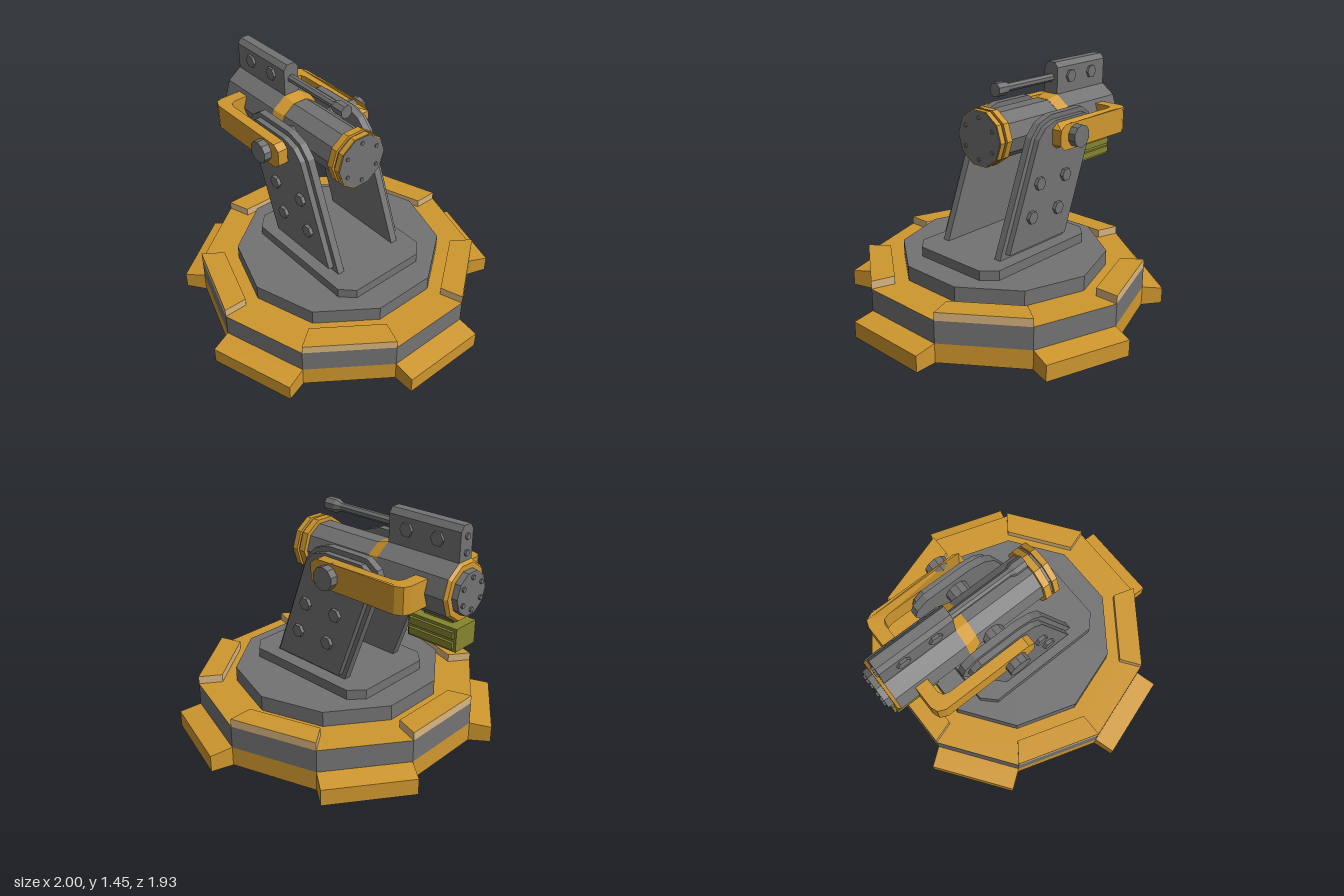
import * as THREE from 'three';

const mat = (name, color) => {
  const m = new THREE.MeshStandardMaterial({ color, side: THREE.DoubleSide });
  m.name = name;
  return m;
};

export function createModel() {
  const grey = mat('steel grey', 0x737373);
  const orange = mat('hazard orange', 0xcf972e);
  const tan = mat('pale tan', 0xdab680);
  const olive = mat('olive', 0x858530);
  const model = new THREE.Group();

  // Faceted mesh from any geometry
  const add = (name, geo, material, parent = model) => {
    const g = geo.index ? geo.toNonIndexed() : geo;
    g.computeVertexNormals();
    const mesh = new THREE.Mesh(g, material);
    mesh.name = name;
    parent.add(mesh);
    return mesh;
  };
  const box = (name, m, x0, x1, y0, y1, z0, z1) =>
    add(name, new THREE.BoxGeometry(x1 - x0, y1 - y0, z1 - z0)
      .translate((x0 + x1) / 2, (y0 + y1) / 2, (z0 + z1) / 2), m);
  // Prism standing on y, with a flat side facing the front
  const prismY = (name, m, r, y0, y1, open = false) =>
    add(name, new THREE.CylinderGeometry(r, r, y1 - y0, 10, 1, open, Math.PI / 10)
      .translate(0, (y0 + y1) / 2, 0), m);
  // Prism or cone along z: rBack at z0, rFront at z1
  const prismZ = (name, m, rBack, rFront, z0, z1, x = 0, y = 1.09, n = 10) =>
    add(name, new THREE.CylinderGeometry(rFront, rBack, z1 - z0, n, 1, false, Math.PI / n)
      .rotateX(Math.PI / 2).translate(x, y, (z0 + z1) / 2), m);
  const prismX = (name, m, r, x0, x1, y, z, n) =>
    add(name, new THREE.CylinderGeometry(r, r, x1 - x0, n, 1, false, n === 6 ? 0 : Math.PI / n)
      .rotateZ(Math.PI / 2).translate((x0 + x1) / 2, y, z), m);
  const shape = pts => new THREE.Shape(pts.map(p => new THREE.Vector2(p[0], p[1])));
  const extrude = (pts, depth) => new THREE.ExtrudeGeometry(shape(pts), { depth, bevelEnabled: false });
  // (z, y) outline extruded across x, placed on side s
  const plateX = (name, m, pts, x0, x1, s) =>
    add(name, extrude(pts, x1 - x0).rotateY(-Math.PI / 2).translate(s > 0 ? x1 : -x0, 0, 0), m);
  const quads = (name, m, list) => {
    const g = new THREE.BufferGeometry();
    const pos = list.flatMap(([a, b, c, d]) => [a, b, c, a, c, d]).flat();
    g.setAttribute('position', new THREE.Float32BufferAttribute(pos, 3));
    return add(name, g, m);
  };

  // Hollow ten-sided base
  const R = 0.873, RI = 0.727, DEG = Math.PI / 180;
  prismY('baseSkirt', orange, R, 0, 0.12, true);
  prismY('baseWall', grey, R, 0.12, 0.26, true);
  add('baseDeck', new THREE.CircleGeometry(RI, 10, Math.PI / 10 - Math.PI / 10)
    .rotateX(-Math.PI / 2).translate(0, 0.26, 0), orange);
  const at = (r, a, y) => [r * Math.sin(a * DEG), y, r * Math.cos(a * DEG)];
  for (let i = 0; i < 10; i++) {
    const a = i * 36 - 18, b = a + 18 + 18, raised = i % 2 === 1;
    const y = raised ? 0.31 : 0.26;
    quads('rimTop', orange, [[at(R, a, y), at(R, b, y), at(RI, b, y), at(RI, a, y)]]);
    if (raised) {
      // Sides of the raised rim block
      const wall = (r1, a1, r2, a2) => [at(r1, a1, 0.26), at(r2, a2, 0.26), at(r2, a2, y), at(r1, a1, y)];
      quads('rimBlockSides', tan, [wall(R, a, R, b), wall(R, b, RI, b), wall(RI, b, RI, a), wall(RI, a, R, a)]);
    } else {
      // Sloping foot with a grey sole
      const w = 0.27, zi = 0.83, zo = 0.963;
      const foot = new THREE.Group();
      foot.name = 'foot';
      const g = extrude([[zi, 0], [zo, 0], [zo, 0.1], [zi, 0.12]], 2 * w)
        .rotateY(-Math.PI / 2).translate(w, 0, 0);
      add('footBlock', g, orange, foot);
      add('footSole', new THREE.BoxGeometry(2 * w, 0.004, zo - zi)
        .translate(0, 0, (zi + zo) / 2), grey, foot);
      foot.rotation.y = i * 36 * DEG;
      model.add(foot);
    }
  }

  // Turntable and chamfered mounting plate
  prismY('turntable', grey, 0.64, 0.262, 0.355);
  const px = 0.325, pz = 0.457, c = 0.08;
  add('mountingPlate', extrude([
    [px, pz - c], [px - c, pz], [c - px, pz], [-px, pz - c],
    [-px, c - pz], [c - px, -pz], [px - c, -pz], [px, c - pz],
  ], 0.06).rotateX(-Math.PI / 2).translate(0, 0.355, 0), grey);

  // Slanted struts, bolts and orange recoil arms
  const strut = [[0.283, 0.415], [-0.283, 0.415], [-0.535, 1.1], [-0.515, 1.16], [-0.44, 1.21],
    [-0.15, 1.21], [-0.05, 1.175], [0.02, 1.1]];
  const strutPad = [[0.237, 0.445], [-0.265, 0.445], [-0.502, 1.09], [-0.485, 1.14], [-0.43, 1.18],
    [-0.155, 1.18], [-0.068, 1.152], [-0.008, 1.09]];
  const arm = [[0.28, -0.12], [0.345, -0.12], [0.345, -0.16], [0.345, -0.72], [0.325, -0.765], [0.285, -0.78],
    [0.12, -0.78], [0.12, -0.7], [0.24, -0.7], [0.27, -0.685], [0.28, -0.65], [0.28, -0.16]];
  for (const s of [1, -1]) {
    plateX('strut', grey, strut, 0.195, 0.24, s);
    plateX('strutPad', grey, strutPad, 0.24, 0.275, s);
    for (const [z, y] of [[-0.01, 0.83], [-0.245, 0.83], [0.055, 0.635], [-0.18, 0.635]])
      prismX('strutBolt', grey, 0.041, s > 0 ? 0.27 : -0.297, s > 0 ? 0.297 : -0.27, y, z, 6);

    const g = extrude(arm.map(([x, z]) => [s * x, -z]), 0.157).rotateX(-Math.PI / 2).translate(0, 1.01, 0);
    const p = g.attributes.position;
    for (let i = 0; i < p.count; i++) // taper the free end
      if (p.getZ(i) > -0.13) p.setY(i, 1.088 + (p.getY(i) - 1.088) * 0.6);
    add('recoilArm', g, orange);
  }
  prismX('pivotAxle', grey, 0.07, -0.393, 0.393, 1.087, -0.255, 10);

  // Barrel along z
  prismZ('barrel', grey, 0.15, 0.15, -0.4, 0.17);
  prismZ('barrelCollar', orange, 0.174, 0.152, -0.43, -0.35);
  prismZ('breech', grey, 0.174, 0.174, -0.9, -0.43);
  prismZ('breechRing', orange, 0.16, 0.174, -0.918, -0.9);
  prismZ('breechCap', grey, 0.125, 0.13, -0.952, -0.9);
  prismZ('muzzleRing', orange, 0.174, 0.174, 0.107, 0.15);
  prismZ('muzzleGroove', grey, 0.158, 0.158, 0.14, 0.18);
  prismZ('muzzleRing', orange, 0.174, 0.174, 0.168, 0.203);
  prismZ('muzzlePlate', grey, 0.168, 0.168, 0.2, 0.206);
  for (let i = 0; i < 6; i++) {
    const a = (i * 60 + 30) * DEG, u = Math.cos(a), v = Math.sin(a);
    prismZ('muzzleBolt', grey, 0.013, 0.013, 0.2, 0.213, 0.125 * u, 1.09 + 0.125 * v, 6);
    prismZ('breechBolt', grey, 0.014, 0.014, -0.963, -0.95, 0.09 * u, 1.09 + 0.09 * v, 6);
  }

  // Upper housing with bolts and the slim gun rod
  add('upperHousing', extrude([[-0.052, 1.2], [0.052, 1.2], [0.052, 1.42], [0.028, 1.452],
    [-0.028, 1.452], [-0.052, 1.42]], 0.47).translate(0, 0, -0.9), grey);
  for (const z of [-0.555, -0.76])
    prismX('housingBolt', grey, 0.042, -0.067, 0.067, 1.355, z, 6);
  for (const y of [1.3, 1.39])
    prismZ('housingRearBolt', grey, 0.018, 0.018, -0.912, -0.9, 0, y, 6);
  prismZ('gunRod', grey, 0.026, 0.026, -0.43, 0, 0, 1.355, 8);
  prismZ('gunTipTaper', grey, 0.026, 0.042, -0.035, 0, 0, 1.355, 8);
  prismZ('gunTip', grey, 0.042, 0.042, 0, 0.073, 0, 1.355, 8);

  // Olive pack hung under the breech
  box('packNeck', olive, -0.035, 0.035, 0.9, 0.94, -0.87, -0.68);
  box('pack', olive, -0.085, 0.085, 0.77, 0.905, -0.935, -0.615);
  for (const y of [0.787, 0.848])
    box('packRails', olive, -0.102, 0.102, y, y + 0.04, -0.92, -0.63);

  return model;
}
